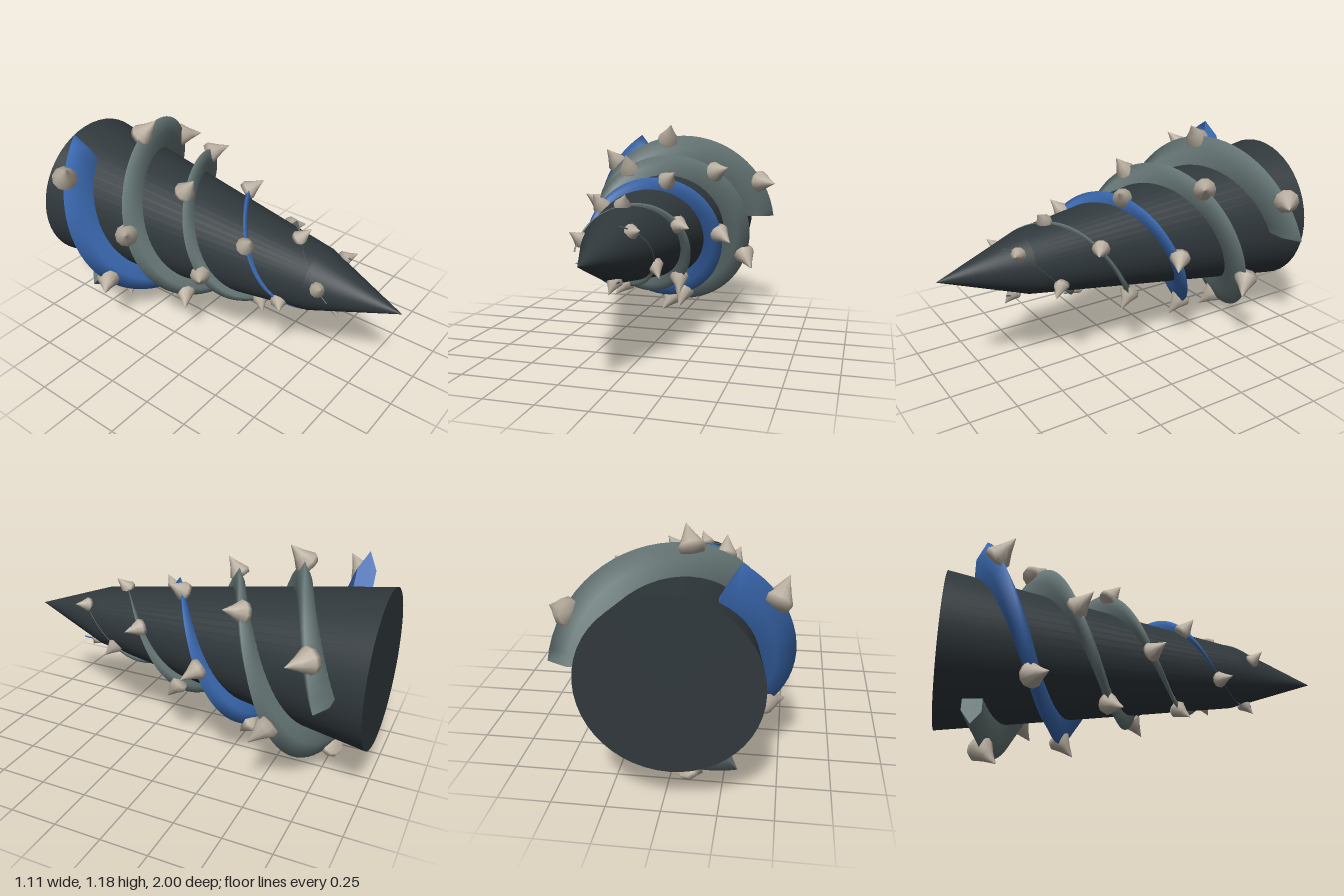
import * as THREE from 'three';

const AXIS_X = -0.04, AXIS_Y = 0.635;
const TURNS = 1.5;

const mat = (name, color) => {
  const m = new THREE.MeshStandardMaterial({ color });
  m.name = name;
  return m;
};

// Spiral rule: t is the number of turns from the back end towards the tip
function spiral(t) {
  const z = -0.82 + t;
  const core = 0.377 - 0.155 * t;
  const height = Math.max(0.19 - 0.145 * t, 0.004);
  return { z, core, height, thick: height * 0.29 };
}

// Tapering blade with a flattened six-sided section, wound around the cone
function bladeGeometry(startAngle) {
  const rings = 96, sides = 6, pos = [], idx = [];
  const addRing = (t) => {
    const s = spiral(t), th = startAngle + t * Math.PI * 2;
    for (let j = 0; j < sides; j++) {
      const a = (j / sides) * Math.PI * 2;
      const r = s.core + s.height * Math.cos(a);
      pos.push(r * Math.cos(th), r * Math.sin(th), s.z + s.thick * Math.sin(a));
    }
  };
  for (let i = 0; i <= rings; i++) addRing((i / rings) * TURNS);
  for (let i = 0; i < rings; i++) {
    for (let j = 0; j < sides; j++) {
      const k = (j + 1) % sides;
      const a = i * sides + j, b = a + sides, c = i * sides + k, d = c + sides;
      idx.push(a, b, c, b, d, c);
    }
  }
  // flat cap at the back end
  const cap = (rings + 1) * sides;
  addRing(0);
  for (let j = 1; j < sides - 1; j++) idx.push(cap, cap + j, cap + j + 1);
  const g = new THREE.BufferGeometry();
  g.setAttribute('position', new THREE.Float32BufferAttribute(pos, 3));
  g.setIndex(idx);
  g.computeVertexNormals();
  return g;
}

export function createModel() {
  const model = new THREE.Group();
  model.name = 'drill';
  const drill = new THREE.Group();
  drill.name = 'drillHead';
  drill.position.set(AXIS_X, AXIS_Y, 0);
  model.add(drill);

  const dark = mat('dark steel', 0x30383c);
  const grey = mat('grey steel', 0x687878);
  const blue = mat('blue paint', 0x3b6ab2);
  const bone = mat('bone', 0xb9afa0);

  const add = (parent, geometry, material, name) => {
    const m = new THREE.Mesh(geometry, material);
    m.name = name;
    parent.add(m);
    return m;
  };

  // Core: long tapered shaft with a steeper point
  const profile = [[0.406, -1], [0.165, 0.55], [0, 1]].map(p => new THREE.Vector2(...p));
  add(drill, new THREE.LatheGeometry(profile, 48).rotateX(Math.PI / 2), dark, 'core');
  const back = add(drill, new THREE.CircleGeometry(0.406, 48), dark, 'backPlate');
  back.position.z = -1;
  back.rotation.y = Math.PI;

  // Spike: small flared cone with a rounded foot
  const spikeProfile = [[0, -0.035], [0.058, -0.03], [0.067, 0], [0.034, 0.055], [0, 0.125]]
    .map(p => new THREE.Vector2(...p));
  const spikeGeometry = new THREE.LatheGeometry(spikeProfile, 10);
  const up = new THREE.Vector3(0, 1, 0);

  // Three blades, each carrying eight spikes
  [grey, blue, grey].forEach((material, n) => {
    const start = (n * Math.PI * 2) / 3;
    const flight = new THREE.Group();
    flight.name = 'flight' + (n + 1);
    drill.add(flight);
    add(flight, bladeGeometry(start), material, 'spiralBlade');

    for (let k = 0; k < 8; k++) {
      const t = TURNS * (0.04 + (0.92 * k) / 7);
      const s = spiral(t), th = start + t * Math.PI * 2 + 0.04;
      const surface = s.z > 0.55 ? (1 - s.z) * 0.365 : s.core;
      const r = Math.max(s.core + s.height - 0.015, surface + 0.005);
      const c = Math.cos(th), d = Math.sin(th);
      const spike = add(flight, spikeGeometry, bone, 'spike');
      spike.position.set(r * c, r * d, s.z);
      // lean outwards, forwards and slightly against the winding
      const dir = new THREE.Vector3(0.09 * c + 0.045 * d, 0.09 * d - 0.045 * c, 0.075).normalize();
      spike.quaternion.setFromUnitVectors(up, dir);
      spike.scale.setScalar(1 - 0.06 * k);
    }
  });

  return model;
}
